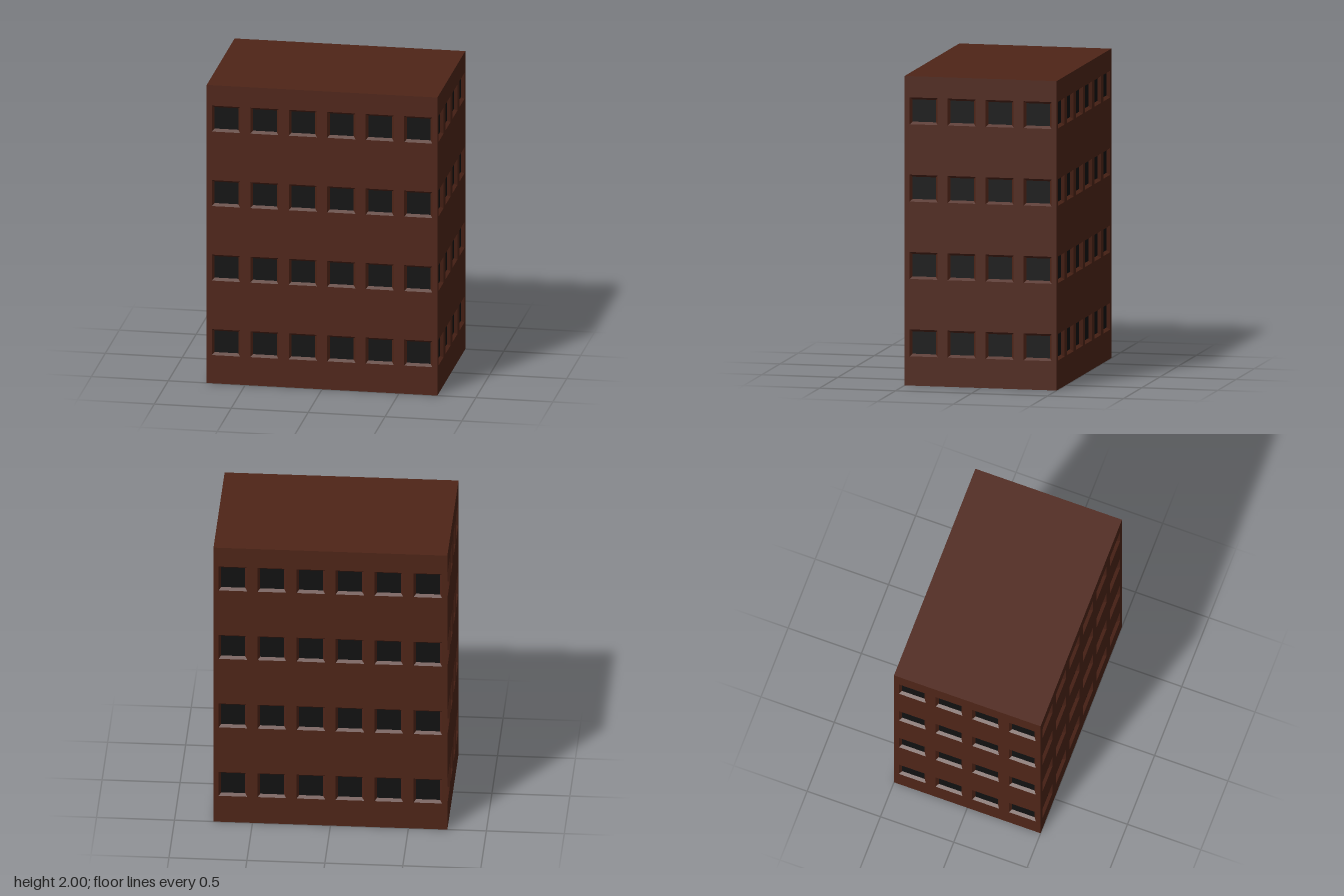
import * as THREE from 'three';
import { mergeGeometries } from 'three/addons/utils/BufferGeometryUtils.js';

const W = 1.5, H = 2, D = 1;
const OUTER = [0.183, 0.174]; // window opening in the wall
const INNER = [0.154, 0.144]; // glass at the back of the recess
const DEPTH = 0.02, PITCH = 0.25;
const ROWS = [0.276, 0.776, 1.276, 1.776];

const brick = new THREE.MeshStandardMaterial({ color: 0x4f2518, flatShading: true });
const dark = new THREE.MeshStandardMaterial({ color: 0x111111, flatShading: true });

const corners = ([w, h], x, y, z) =>
  [[-1, -1], [1, -1], [1, 1], [-1, 1]].map(([i, j]) => [x + i * w / 2, y + j * h / 2, z]);

// Four sloping sides leading from the wall opening in to the glass
function revealGeometry(x, y) {
  const o = corners(OUTER, x, y, 0), n = corners(INNER, x, y, -DEPTH), pos = [];
  for (let i = 0; i < 4; i++) {
    const j = (i + 1) % 4;
    pos.push(...o[i], ...o[j], ...n[j], ...o[i], ...n[j], ...n[i]);
  }
  const g = new THREE.BufferGeometry();
  g.setAttribute('position', new THREE.Float32BufferAttribute(pos, 3));
  g.computeVertexNormals();
  return g;
}

function mesh(name, geometry, material) {
  const m = new THREE.Mesh(geometry, material);
  m.name = name;
  return m;
}

// One wall with its grid of recessed windows, facing +z
function facade(name, width, columns) {
  const group = new THREE.Group();
  group.name = name;
  const toPoints = (c) => c.map(([x, y]) => new THREE.Vector2(x, y));
  const wall = new THREE.Shape(toPoints(corners([width, H], 0, H / 2, 0)));
  const reveals = [], panes = [];
  for (const y of ROWS) {
    for (let c = 0; c < columns; c++) {
      const x = (c - (columns - 1) / 2) * PITCH;
      wall.holes.push(new THREE.Path(toPoints(corners(OUTER, x, y, 0)).reverse()));
      reveals.push(revealGeometry(x, y));
      panes.push(new THREE.PlaneGeometry(...INNER).translate(x, y, -DEPTH));
    }
  }
  group.add(
    mesh('wall', new THREE.ShapeGeometry(wall), brick),
    mesh('windowFrames', mergeGeometries(reveals), brick),
    mesh('windowPanes', mergeGeometries(panes), dark),
  );
  return group;
}

export function createModel() {
  const model = new THREE.Group();
  model.name = 'apartmentBlock';

  // Four facades turned around the block
  const sides = [['front', W, 6, D], ['left', D, 4, W], ['back', W, 6, D], ['right', D, 4, W]];
  sides.forEach(([side, width, columns, across], i) => {
    const f = facade(side + 'Facade', width, columns);
    f.rotation.y = i * Math.PI / 2;
    f.position.set(Math.sin(f.rotation.y) * across / 2, 0, Math.cos(f.rotation.y) * across / 2);
    model.add(f);
  });

  // Flat roof and underside
  model.add(
    mesh('roof', new THREE.PlaneGeometry(W, D).rotateX(-Math.PI / 2).translate(0, H, 0), brick),
    mesh('base', new THREE.PlaneGeometry(W, D).rotateX(Math.PI / 2), brick),
  );
  return model;
}
